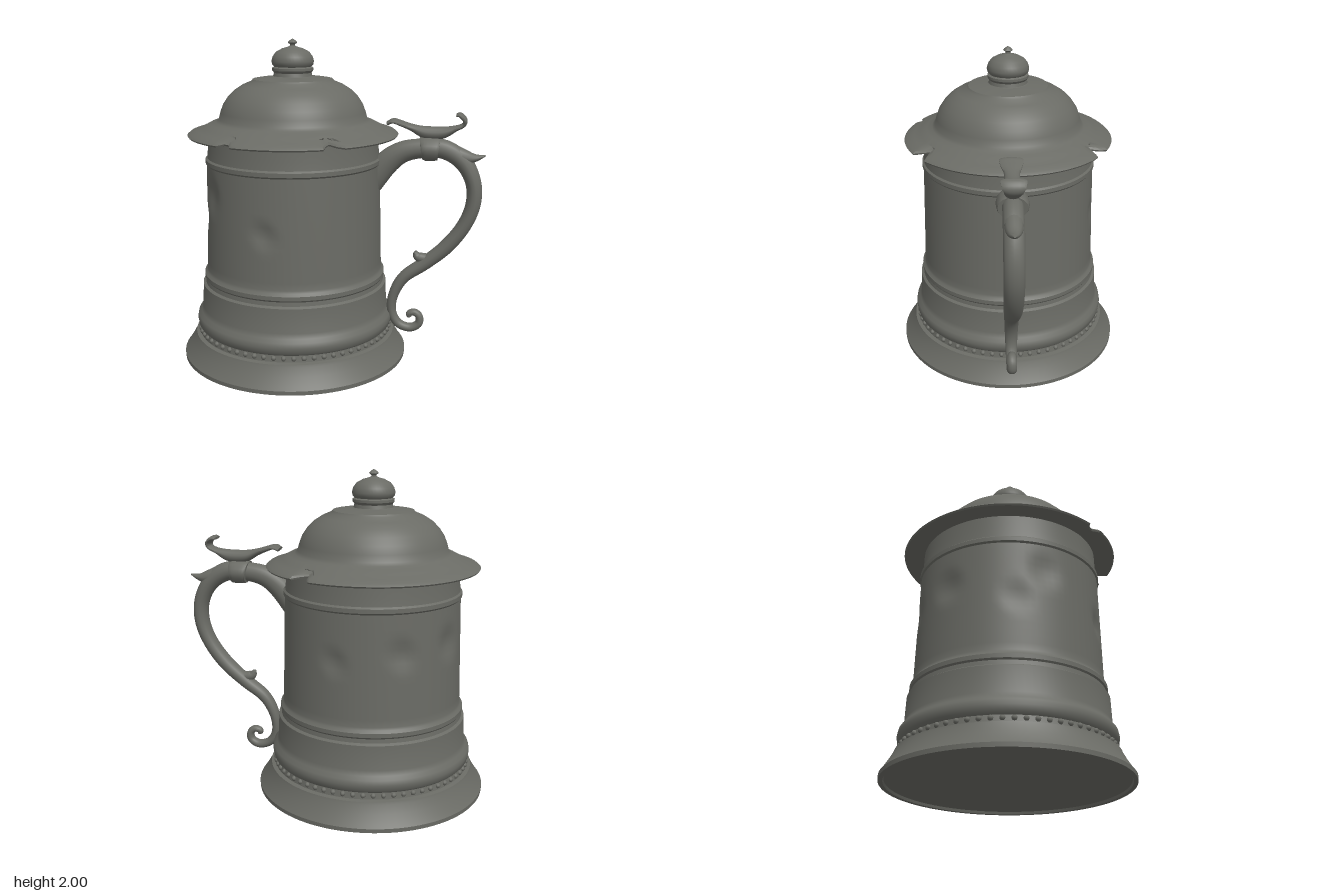
import * as THREE from 'three';
import { toCreasedNormals } from 'three/addons/utils/BufferGeometryUtils.js';

const AXIS = -0.237; // x of the vessel's axis; the handle sits on +x

// Turned part from [radius, y] points, reshaped by an optional rule
function turned(points, segments, rule) {
  const g = new THREE.LatheGeometry(points.map(([r, y]) => new THREE.Vector2(r, y)), segments);
  if (rule) {
    const p = g.attributes.position, v = new THREE.Vector3();
    for (let i = 0; i < p.count; i++) {
      v.fromBufferAttribute(p, i);
      rule(v);
      p.setXYZ(i, v.x, v.y, v.z);
    }
  }
  return toCreasedNormals(g, 0.6);
}

// Elliptical sweep in the x-y plane; each point is [x, y, halfThickness, halfWidth]
function sweep(points, rows, sides = 14) {
  const path = new THREE.CatmullRomCurve3(points.map(([x, y]) => new THREE.Vector3(x, y, 0)));
  const size = new THREE.CatmullRomCurve3(points.map(p => new THREE.Vector3(p[2], p[3], 0)));
  // uniform splines keep path and size in step
  path.curveType = size.curveType = 'catmullrom';
  const pos = [], idx = [];
  for (let i = 0; i <= rows; i++) {
    const c = path.getPoint(i / rows), t = path.getTangent(i / rows), s = size.getPoint(i / rows);
    for (let j = 0; j < sides; j++) {
      const a = (j / sides) * Math.PI * 2, n = s.x * Math.cos(a);
      pos.push(c.x - t.y * n, c.y + t.x * n, s.y * Math.sin(a));
    }
  }
  for (let i = 0; i < rows; i++) {
    for (let j = 0; j < sides; j++) {
      const a = i * sides + j, b = i * sides + (j + 1) % sides;
      idx.push(a, b, a + sides, b, b + sides, a + sides);
    }
  }
  // end caps
  const first = pos.length / 3, start = path.getPoint(0), end = path.getPoint(1);
  pos.push(start.x, start.y, 0, end.x, end.y, 0);
  for (let j = 0; j < sides; j++) {
    const k = (j + 1) % sides;
    idx.push(first, k, j, first + 1, rows * sides + j, rows * sides + k);
  }
  const g = new THREE.BufferGeometry();
  g.setAttribute('position', new THREE.Float32BufferAttribute(pos, 3));
  g.setIndex(idx);
  return toCreasedNormals(g, 0.9);
}

export function createModel() {
  const model = new THREE.Group();
  const pewter = new THREE.MeshStandardMaterial({ color: 0x6a6b65 });
  pewter.name = 'pewter';

  function add(name, geometry, x = 0, y = 0, z = 0, parent = model) {
    const mesh = new THREE.Mesh(geometry, pewter);
    mesh.name = name;
    mesh.position.set(x, y, z);
    parent.add(mesh);
    return mesh;
  }

  // Body: flared foot, moulded bands and a gently tapering wall
  const profile = [
    [0, 0.015], [0.685, 0.015], [0.69, 0], [0.715, 0], [0.716, 0.025], [0.7, 0.045],
    [0.672, 0.09], [0.645, 0.14], [0.64, 0.155], [0.615, 0.16], [0.608, 0.2], [0.622, 0.215],
    [0.628, 0.25], [0.622, 0.28], [0.602, 0.3], [0.592, 0.33], [0.586, 0.48], [0.57, 0.49],
    [0.567, 0.515], [0.574, 0.525], [0.574, 0.55], [0.56, 0.565],
  ];
  for (let i = 0; i <= 16; i++) profile.push([0.555 - 0.016 * i / 16, 0.58 + 0.66 * i / 16]);
  profile.push([0.547, 0.0 + 1.25], [0.547, 1.275], [0.536, 1.285], [0.53, 1.34], [0.527, 1.43], [0, 1.43]);

  // Dents: angle from the front, height, radius, depth
  const dents = [
    [-0.12, 0.9, 0.1, 0.022], [-0.95, 1.08, 0.14, 0.02], [-1.25, 0.9, 0.12, 0.014],
    [-2.0, 1.02, 0.13, 0.022], [-2.65, 1.0, 0.12, 0.022], [2.9, 0.95, 0.1, 0.018],
  ];
  add('body', turned(profile, 96, v => {
    const r = Math.hypot(v.x, v.z), angle = Math.atan2(v.x, v.z);
    if (v.y < 0.57 || v.y > 1.24 || r < 0.3) return;
    let push = 0;
    for (const [a, y, size, depth] of dents) {
      const turn = Math.atan2(Math.sin(angle - a), Math.cos(angle - a));
      const d = Math.hypot(turn * r, v.y - y) / size;
      if (d < 1) push += depth * (1 - d * d) ** 2;
    }
    v.x *= 1 - push / r;
    v.z *= 1 - push / r;
  }), AXIS);

  // Beaded ring above the foot
  const beads = new THREE.Group();
  beads.name = 'beading';
  const bead = new THREE.SphereGeometry(0.016, 8, 6);
  for (let i = 0; i < 64; i++) {
    const a = (i / 64) * Math.PI * 2;
    add('bead', bead, AXIS + 0.611 * Math.sin(a), 0.183, 0.611 * Math.cos(a), beads);
  }
  model.add(beads);

  // Lid: wide brim with torn edges, and a dome
  const tears = [[0.56, 0.09, 0.09], [2.6, 0.09, 0.09], [-0.45, 0.06, 0.05]];
  add('lid', turned([
    [0.5, 1.425], [0.645, 1.415], [0.651, 1.424], [0.635, 1.438], [0.59, 1.452], [0.55, 1.47],
    [0.51, 1.492], [0.475, 1.502], [0.458, 1.52], [0.447, 1.56], [0.43, 1.605], [0.4, 1.65],
    [0.36, 1.69], [0.31, 1.722], [0.255, 1.745], [0.245, 1.758], [0.2, 1.765], [0.1, 1.775],
  ], 120, v => {
    const r = Math.hypot(v.x, v.z), angle = Math.atan2(v.x, v.z);
    if (r < 0.58) return;
    for (const [a, half, depth] of tears) {
      const d = (angle - a) / half;
      if (Math.abs(d) >= 1) continue;
      // each tear is a one-sided nick
      const k = 1 - depth * (d < 0 ? 1 + d : 1 - d * d) / r;
      v.x *= k;
      v.z *= k;
      v.y += 0.015 * (1 - Math.abs(d));
    }
  }), AXIS);

  // Knob and finial on the lid
  add('knob', turned([
    [0.14, 1.765], [0.12, 1.775], [0.115, 1.795], [0.126, 1.81], [0.126, 1.825], [0.114, 1.832],
    [0.126, 1.845], [0.13, 1.865], [0.122, 1.893], [0.102, 1.92], [0.065, 1.94], [0.03, 1.95],
    [0.015, 1.957], [0.016, 1.965], [0.029, 1.975], [0.022, 1.985], [0, 2.0],
  ], 40), AXIS);

  // Handle: S-curve ending in a scroll
  add('handle', sweep([
    [0.25, 1.13, 0.08, 0.06], [0.35, 1.255, 0.075, 0.06], [0.45, 1.325, 0.066, 0.06],
    [0.58, 1.35, 0.06, 0.06], [0.7, 1.345, 0.06, 0.06], [0.81, 1.275, 0.055, 0.06],
    [0.877, 1.15, 0.048, 0.06], [0.882, 1.01, 0.046, 0.06], [0.83, 0.87, 0.045, 0.058],
    [0.73, 0.735, 0.046, 0.055], [0.6, 0.62, 0.043, 0.05], [0.47, 0.52, 0.038, 0.046],
    [0.405, 0.4, 0.032, 0.042], [0.395, 0.29, 0.029, 0.038], [0.435, 0.21, 0.028, 0.035],
    [0.51, 0.182, 0.027, 0.033], [0.567, 0.21, 0.026, 0.031], [0.572, 0.26, 0.024, 0.03],
    [0.54, 0.287, 0.022, 0.027], [0.506, 0.275, 0.02, 0.024], [0.512, 0.255, 0.013, 0.018],
  ], 110));

  // Thorn at the shoulder and bud on the inside of the handle
  add('handleThorn', sweep([
    [0.76, 1.315, 0.06, 0.055], [0.83, 1.3, 0.045, 0.05], [0.89, 1.3, 0.022, 0.032], [0.945, 1.315, 0.004, 0.006],
  ], 14));
  add('handleBud', sweep([
    [0.66, 0.655, 0.03, 0.035], [0.6, 0.65, 0.032, 0.034], [0.555, 0.66, 0.03, 0.032], [0.535, 0.69, 0.012, 0.022],
  ], 14));

  // Hinge collar around the top of the handle
  add('hingeCollar', sweep([
    [0.56, 1.345, 0.07, 0.085], [0.58, 1.348, 0.075, 0.092], [0.64, 1.348, 0.075, 0.092], [0.665, 1.345, 0.07, 0.085],
  ], 9, 16));

  // Thumb piece: a leaf curling up at both ends
  add('thumbPiece', sweep([
    [0.35, 1.498, 0.012, 0.055], [0.385, 1.513, 0.014, 0.07], [0.43, 1.5, 0.016, 0.065],
    [0.5, 1.475, 0.022, 0.045], [0.58, 1.448, 0.038, 0.05], [0.68, 1.448, 0.038, 0.05],
    [0.76, 1.475, 0.018, 0.048], [0.808, 1.498, 0.013, 0.05], [0.813, 1.53, 0.015, 0.065],
    [0.785, 1.557, 0.014, 0.07], [0.762, 1.555, 0.008, 0.055],
  ], 50));

  return model;
}
